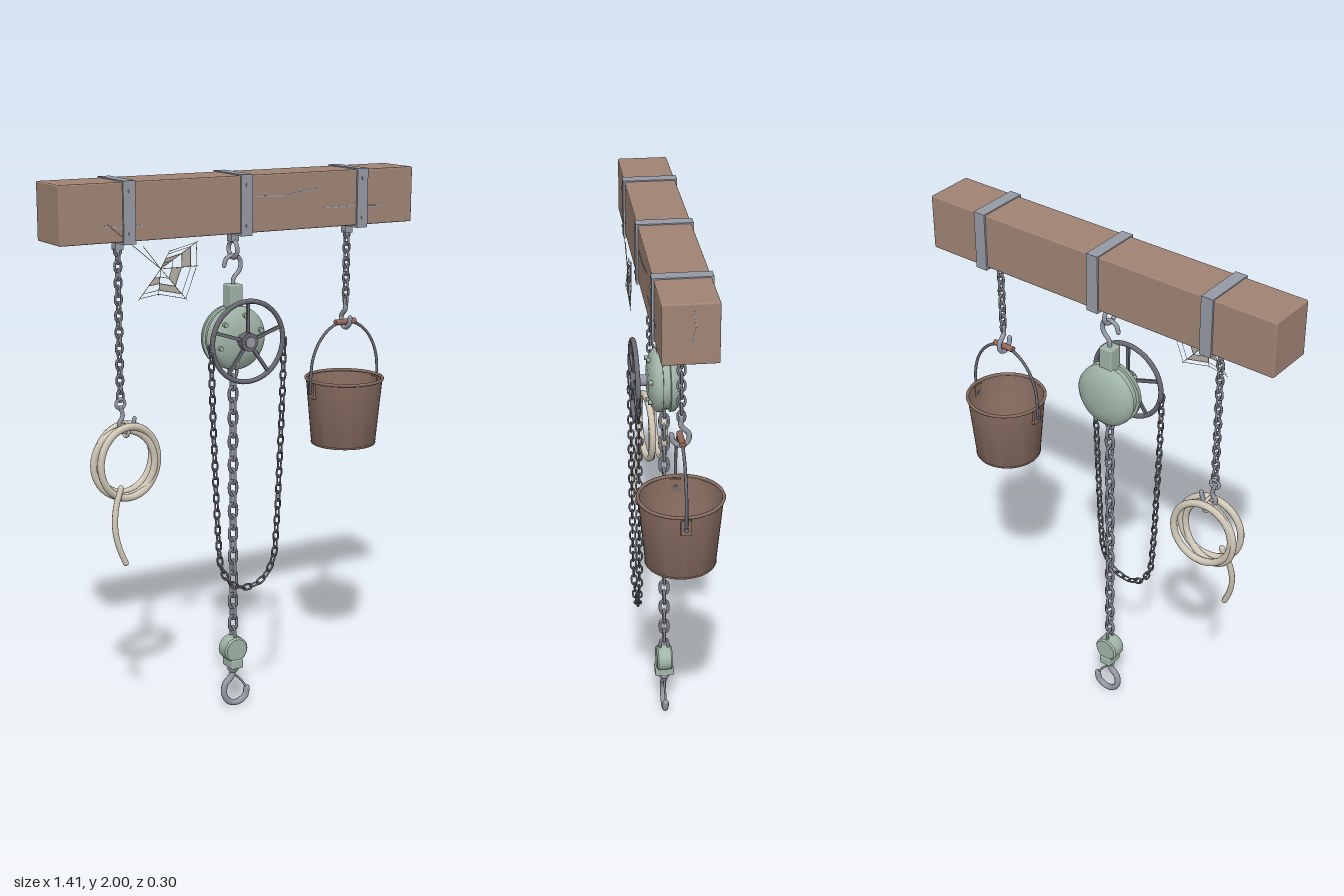
import * as THREE from 'three';
import { mergeGeometries, toCreasedNormals } from 'three/addons/utils/BufferGeometryUtils.js';
import { RoundedBoxGeometry } from 'three/addons/geometries/RoundedBoxGeometry.js';

const mat = (name, color, side = THREE.FrontSide) => {
  const m = new THREE.MeshStandardMaterial({ color, side });
  m.name = name;
  return m;
};
const V = (x, y, z = 0) => new THREE.Vector3(x, y, z);

export function createModel() {
  const wood = mat('wood', 0xa08475);
  const strapSteel = mat('strap steel', 0x969aa5);
  const chainSteel = mat('chain steel', 0x80828c);
  const darkIron = mat('dark iron', 0x696a73);
  const green = mat('green paint', 0xa0b4a7);
  const rust = mat('rusty bucket', 0x876c60, THREE.DoubleSide);
  const grip = mat('grip wood', 0x94695a);
  const rope = mat('rope', 0xd0c8b7);
  const crack = mat('wood crack', 0x98a2b4);
  const web = mat('cobweb', 0xb5afa4, THREE.DoubleSide);

  const root = new THREE.Group();
  root.name = 'chainHoistBeam';
  const add = (name, geo, material, x = 0, y = 0, z = 0, parent = root) => {
    const m = new THREE.Mesh(geo, material);
    m.name = name;
    m.position.set(x, y, z);
    parent.add(m);
    return m;
  };
  // Tube through points, with round ends
  const bar = (pts, r, seg = 28) => {
    const parts = [new THREE.TubeGeometry(new THREE.CatmullRomCurve3(pts), seg, r, 8)];
    for (const p of [pts[0], pts[pts.length - 1]]) {
      parts.push(new THREE.SphereGeometry(r, 8, 6).translate(p.x, p.y, p.z));
    }
    return mergeGeometries(parts);
  };
  // Straight thin line between two points
  const strand = (a, b, r) => new THREE.TubeGeometry(new THREE.LineCurve3(a, b), 1, r, 4);
  // Thin plate along a line in the front plane
  const plate = ([x0, y0], [x1, y1], w) => new THREE.BoxGeometry(Math.hypot(x1 - x0, y1 - y0) + w / 2, w, 0.003)
    .rotateZ(Math.atan2(y1 - y0, x1 - x0)).translate((x0 + x1) / 2, (y0 + y1) / 2, 0);
  // Cylinder and lathe facing z
  const disc = (r, d, seg = 24) => new THREE.CylinderGeometry(r, r, d, seg).rotateX(Math.PI / 2);
  const lathe = (pts, seg = 40) => toCreasedNormals(
    new THREE.LatheGeometry(pts.map(([r, y]) => new THREE.Vector2(r, y)), seg), 0.7);
  // Interlocking oval links along a curve, every second one turned a quarter
  const chain = (curve, pitch, width, wire) => {
    const n = Math.round(curve.getLength() / pitch);
    const r = width / 2 - wire;
    const straight = Math.max(0, pitch / 2 + wire - r);
    const oval = [];
    for (let i = 0; i < 12; i++) {
      const a = (i + 0.5) / 12 * Math.PI * 2;
      oval.push(V(r * Math.cos(a), r * Math.sin(a) + Math.sign(Math.sin(a)) * straight));
    }
    const link = new THREE.TubeGeometry(new THREE.CatmullRomCurve3(oval, true), 18, wire, 6, true);
    const geos = [];
    for (let i = 0; i < n; i++) {
      const u = (i + 0.5) / n;
      const q = new THREE.Quaternion().setFromUnitVectors(V(0, -1), curve.getTangentAt(u));
      const p = curve.getPointAt(u);
      geos.push(link.clone().rotateY(i % 2 ? Math.PI / 2 : 0).applyQuaternion(q).translate(p.x, p.y, p.z));
    }
    return mergeGeometries(geos);
  };
  const drop = (x, y0, y1) => new THREE.LineCurve3(V(x, y0), V(x, y1));

  // Beam with surface cracks
  add('beam', new RoundedBoxGeometry(1.404, 0.198, 0.18, 2, 0.005), wood, 0, 1.897);
  const cracks = [
    [[-0.55, 1.855], [-0.47, 1.845], [-0.4, 1.85]],
    [[0.05, 1.922], [0.16, 1.918], [0.23, 1.93], [0.3, 1.937]],
    [[0.32, 1.868], [0.44, 1.868], [0.56, 1.862]],
  ];
  for (const c of cracks) {
    add('beamCrack', mergeGeometries(c.slice(1).map((p, i) => plate(c[i], p, 0.0035))), crack, 0, 0, 0.0905);
  }
  add('endCrack', mergeGeometries([plate([0.01, 1.97], [0.016, 1.92], 0.003), plate([0.016, 1.92], [0.005, 1.87], 0.003)])
    .rotateY(Math.PI / 2), crack, 0.702);

  // Iron straps with bolts and hanger lugs
  for (const x of [-0.45, 0, 0.48]) {
    const s = new THREE.Group();
    s.name = 'strap';
    s.position.x = x;
    root.add(s);
    for (const z of [-1, 1]) {
      add('strapSide', new THREE.BoxGeometry(0.045, 0.21, 0.008), strapSteel, 0, 1.895, z * 0.093, s);
    }
    for (const y of [1.965, 1.825]) add('strapBolt', disc(0.006, 0.006, 10), strapSteel, 0, y, 0.098, s);
    for (const y of [1.996, 1.793]) add('strapBand', new THREE.BoxGeometry(0.045, 0.008, 0.194), strapSteel, 0, y, 0, s);
    add('hangerLug', new THREE.BoxGeometry(0.03, 0.03, 0.03), strapSteel, 0, 1.776, 0, s);
  }

  // Hoist suspension: eye and top hook
  add('topEye', new THREE.TorusGeometry(0.03, 0.008, 10, 24).rotateY(Math.PI / 2), strapSteel, 0, 1.733);
  add('topHook', bar([V(0, 1.6), V(0.002, 1.63), V(0.027, 1.66), V(0.028, 1.695), V(0, 1.712),
    V(-0.028, 1.7), V(-0.036, 1.677)], 0.008), strapSteel);
  add('topShackle', new RoundedBoxGeometry(0.052, 0.1, 0.056, 2, 0.006), green, 0, 1.56);

  // Hoist housing
  const cy = 1.42;
  add('housing', lathe([[0, -0.062], [0.055, -0.06], [0.095, -0.048], [0.113, -0.032], [0.116, -0.014],
    [0.106, -0.012], [0.106, 0.012], [0.116, 0.014], [0.113, 0.032], [0.095, 0.048], [0.055, 0.06], [0, 0.062]])
    .rotateX(Math.PI / 2), green, 0, cy);
  for (let i = 0; i < 6; i++) {
    const a = (i + 0.3) / 6 * Math.PI * 2;
    add('housingBolt', disc(0.009, 0.014, 6), green, 0.085 * Math.cos(a), cy + 0.085 * Math.sin(a), 0.056);
  }

  // Hand wheel
  const wheel = new THREE.Group();
  wheel.name = 'handWheel';
  wheel.position.set(0, cy, 0.105);
  root.add(wheel);
  add('wheelRim', new THREE.TorusGeometry(0.143, 0.009, 10, 48), darkIron, 0, 0, 0, wheel);
  add('wheelHub', disc(0.033, 0.03, 20), darkIron, 0, 0, 0, wheel);
  add('wheelAxle', disc(0.02, 0.075, 16), strapSteel, 0, 0, -0.016, wheel);
  for (let i = 0; i < 5; i++) {
    add('wheelSpoke', new THREE.BoxGeometry(0.012, 0.12, 0.009).translate(0, 0.08, 0), darkIron, 0, 0, 0, wheel)
      .rotation.z = i / 5 * Math.PI * 2;
  }

  // Hand chain loop and load chain
  const half = [[0.148, 1.42], [0.143, 1.2], [0.133, 0.95], [0.122, 0.72], [0.108, 0.6], [0.065, 0.532]];
  const loop = [...half.map(([x, y]) => V(-x, y, 0.105)), V(0, 0.51, 0.105),
    ...half.reverse().map(([x, y]) => V(x, y, 0.105))];
  add('handChain', chain(new THREE.CatmullRomCurve3(loop), 0.03, 0.026, 0.0036), darkIron);
  add('loadChain', chain(drop(0, 1.32, 0.27), 0.0437, 0.041, 0.006), chainSteel);

  // Bottom block, yoke and load hook
  add('hookBlock', lathe([[0, -0.03], [0.042, -0.03], [0.048, -0.024], [0.048, 0.024], [0.042, 0.03], [0, 0.03]], 28)
    .rotateX(Math.PI / 2), green, 0, 0.235);
  add('hookYoke', new RoundedBoxGeometry(0.05, 0.036, 0.072, 2, 0.006), green, 0, 0.18);
  add('hookSwivel', new THREE.SphereGeometry(0.022, 16, 10), strapSteel, 0, 0.158);
  add('loadHook', bar([V(0, 0.16), V(-0.006, 0.125), V(-0.034, 0.095), V(-0.038, 0.055), V(-0.016, 0.022),
    V(0.02, 0.014), V(0.052, 0.032), V(0.06, 0.062)], 0.012, 40), strapSteel);
  add('hookLatch', bar([V(0.002, 0.13), V(0.03, 0.105), V(0.056, 0.068)], 0.004, 8), strapSteel);

  // Left chain, hook and rope coil
  add('leftChain', chain(drop(-0.45, 1.775, 1.24), 0.0285, 0.032, 0.0046), chainSteel);
  add('ropeHookEye', new THREE.TorusGeometry(0.017, 0.006, 8, 18), strapSteel, -0.45, 1.228);
  add('ropeHook', bar([V(-0.45, 1.215), V(-0.442, 1.185), V(-0.456, 1.155), V(-0.438, 1.132),
    V(-0.408, 1.138), V(-0.396, 1.17)], 0.008), strapSteel);
  const coils = [[-0.425, 1.022, -0.03, 0.114, 0.08], [-0.437, 1.012, -0.004, 0.112, -0.14], [-0.428, 1.02, 0.02, 0.118, 0.12]];
  for (const [x, y, z, r, tilt] of coils) {
    const c = add('ropeCoil', new THREE.TorusGeometry(r, 0.0125, 10, 40).scale(1, 1.08, 1), rope, x, y, z);
    c.rotation.y = tilt;
  }
  add('ropeTail', bar([V(-0.47, 0.935, 0.034), V(-0.495, 0.875, 0.045), V(-0.506, 0.8, 0.056),
    V(-0.495, 0.73, 0.063), V(-0.473, 0.672, 0.067)], 0.011), rope);
  add('ropeBinding', new THREE.TorusGeometry(0.026, 0.006, 8, 20).rotateY(Math.PI / 2), rope, -0.43, 1.135, -0.004);

  // Right chain and bucket hook
  const bx = 0.48;
  add('rightChain', chain(drop(bx, 1.775, 1.5), 0.0285, 0.032, 0.0046), chainSteel);
  add('bucketHook', bar([V(bx, 1.51), V(bx, 1.48), V(bx, 1.45, -0.025), V(bx, 1.42, -0.02),
    V(bx, 1.41, 0.004), V(bx, 1.425, 0.026), V(bx, 1.45, 0.032)], 0.009), strapSteel);

  // Bucket with rolled rim, ears, bail and grip
  add('bucket', lathe([[0, 0.97], [0.117, 0.97], [0.121, 0.978], [0.143, 1.22]], 48), rust, bx);
  add('bucketRim', new THREE.TorusGeometry(0.143, 0.006, 8, 48).rotateX(Math.PI / 2), rust, bx, 1.219);
  add('bucketFoot', new THREE.TorusGeometry(0.118, 0.004, 8, 48).rotateX(Math.PI / 2), rust, bx, 0.973);
  for (const s of [-1, 1]) {
    add('bucketEar', new THREE.BoxGeometry(0.012, 0.055, 0.036), rust, bx + s * 0.142, 1.182);
    add('earRivet', new THREE.CylinderGeometry(0.008, 0.008, 0.022, 10).rotateZ(Math.PI / 2), darkIron, bx + s * 0.144, 1.178);
  }
  const bail = [V(bx - 0.148, 1.178)];
  for (let i = 0; i <= 12; i++) {
    const a = Math.PI * (1 - i / 12);
    bail.push(V(bx + 0.148 * Math.cos(a), 1.24 + 0.192 * Math.sin(a)));
  }
  bail.push(V(bx + 0.148, 1.178));
  add('bucketBail', bar(bail, 0.0055, 48), darkIron);
  add('bucketGrip', new THREE.CylinderGeometry(0.011, 0.011, 0.088, 14).rotateZ(Math.PI / 2), grip, bx, 1.431);

  // Cobweb fan with a few filled cells
  const hub = V(-0.335, 1.7, 0.093);
  const tips = [[-0.4, 1.78], [-0.42, 1.6], [-0.345, 1.61], [-0.235, 1.585], [-0.19, 1.7], [-0.19, 1.785], [-0.3, 1.76]]
    .map(([x, y]) => V(x, y, 0.093));
  const at = (i, t) => hub.clone().lerp(tips[i], t);
  const threads = tips.map(t => strand(hub, t, 0.0011));
  threads.push(strand(V(-0.53, 1.86, 0.093), hub, 0.0011));
  for (const t of [0.3, 0.55, 0.8, 0.95]) {
    for (let i = 1; i < tips.length - 1; i++) threads.push(strand(at(i, t), at(i + 1, t), 0.001));
  }
  add('cobwebThreads', mergeGeometries(threads), web);
  const cell = (i, a, b) => new THREE.ShapeGeometry(new THREE.Shape(
    [at(i, a), at(i, b), at(i + 1, b), at(i + 1, a)].map(p => new THREE.Vector2(p.x, p.y))));
  for (const [i, a, b] of [[1, 0.3, 0.55], [2, 0.55, 0.8], [3, 0.3, 0.55], [4, 0.55, 0.8], [5, 0.1, 0.55]]) {
    add('cobwebPatch', cell(i, a, b), web, 0, 0, 0.093);
  }
  return root;
}
